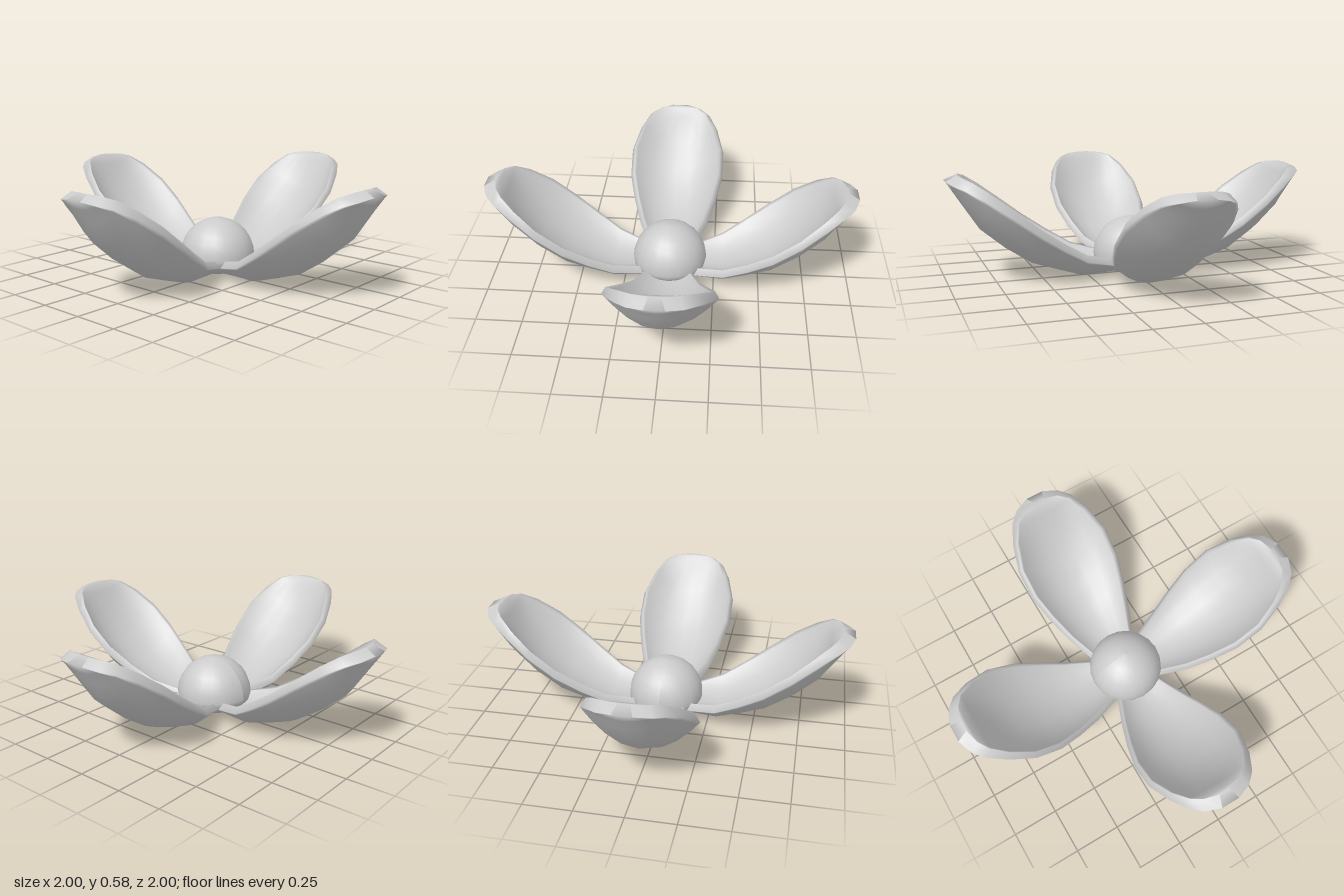
import * as THREE from 'three';

// Petal stations: distance out, half width, rim height, underside height
const STATIONS = [
  [0.00, 0.08, 0.090, 0.018],
  [0.15, 0.14, 0.110, 0.010],
  [0.30, 0.20, 0.150, 0.005],
  [0.43, 0.245, 0.228, 0.046],
  [0.56, 0.279, 0.315, 0.090],
  [0.70, 0.281, 0.418, 0.183],
  [0.83, 0.237, 0.507, 0.292],
  [0.92, 0.185, 0.557, 0.430],
  [0.97, 0.130, 0.574, 0.508],
  [1.00, 0.050, 0.580, 0.553],
];
const ACROSS = 10; // segments across each side of a petal

// A thick, cupped petal lofted along +x from closed cross-sections
function petalGeometry() {
  const pos = [], index = [];
  const ring = 2 * (ACROSS + 1);
  for (const [x, w, rim, under] of STATIONS) {
    const lip = Math.max(rim - 0.035, under);
    const tip = Math.pow(x, 5);
    const innerW = w - 0.02;
    const innerY = Math.min(under + 0.055 + 0.05 * x * x, rim - 0.01 * (1 - x));
    for (let i = 0; i <= ACROSS; i++) { // underside
      const u = Math.sin((i / ACROSS - 0.5) * Math.PI);
      pos.push(x, under + (lip - under) * u * u, w * u);
    }
    for (let i = 0; i <= ACROSS; i++) { // cupped top, leaning back at the tip
      const u = Math.sin((0.5 - i / ACROSS) * Math.PI);
      const y = innerY + (rim - innerY) * Math.pow(Math.abs(u), 2.4);
      pos.push(x - 0.06 * tip, y, innerW * u);
    }
  }
  for (let s = 0; s < STATIONS.length - 1; s++) {
    for (let i = 0; i < ring; i++) {
      const a = s * ring + i, b = s * ring + (i + 1) % ring;
      index.push(a, a + ring, b, b, a + ring, b + ring);
    }
  }
  // Close the root and the tip with strips from underside to top
  const end = (STATIONS.length - 1) * ring;
  for (let i = 0; i < ACROSS; i++) {
    const a = i, b = i + 1, c = ring - 2 - i, d = ring - 1 - i;
    index.push(a, b, c, a, c, d);
    index.push(end + a, end + c, end + b, end + a, end + d, end + c);
  }
  const geo = new THREE.BufferGeometry();
  geo.setAttribute('position', new THREE.Float32BufferAttribute(pos, 3));
  geo.setIndex(index);
  geo.computeVertexNormals();
  return geo;
}

// Round flower centre, flattened below its middle to sit on the ground
function centreGeometry() {
  const geo = new THREE.SphereGeometry(0.205, 20, 14);
  const p = geo.attributes.position;
  for (let i = 0; i < p.count; i++) {
    if (p.getY(i) < 0) p.setY(i, p.getY(i) * 0.105 / 0.205);
  }
  geo.translate(0, 0.105, 0);
  geo.computeVertexNormals();
  return geo;
}

export function createModel() {
  const flower = new THREE.Group();
  flower.name = 'flower';
  const material = new THREE.MeshStandardMaterial({ color: 0xcccccc });

  const centre = new THREE.Mesh(centreGeometry(), material);
  centre.name = 'flowerCentre';
  flower.add(centre);

  const geo = petalGeometry();
  ['left', 'back', 'right', 'front'].forEach((side, i) => {
    const petal = new THREE.Mesh(geo, material);
    petal.name = side + 'Petal';
    petal.rotation.y = i * Math.PI / 2;
    flower.add(petal);
  });
  return flower;
}
